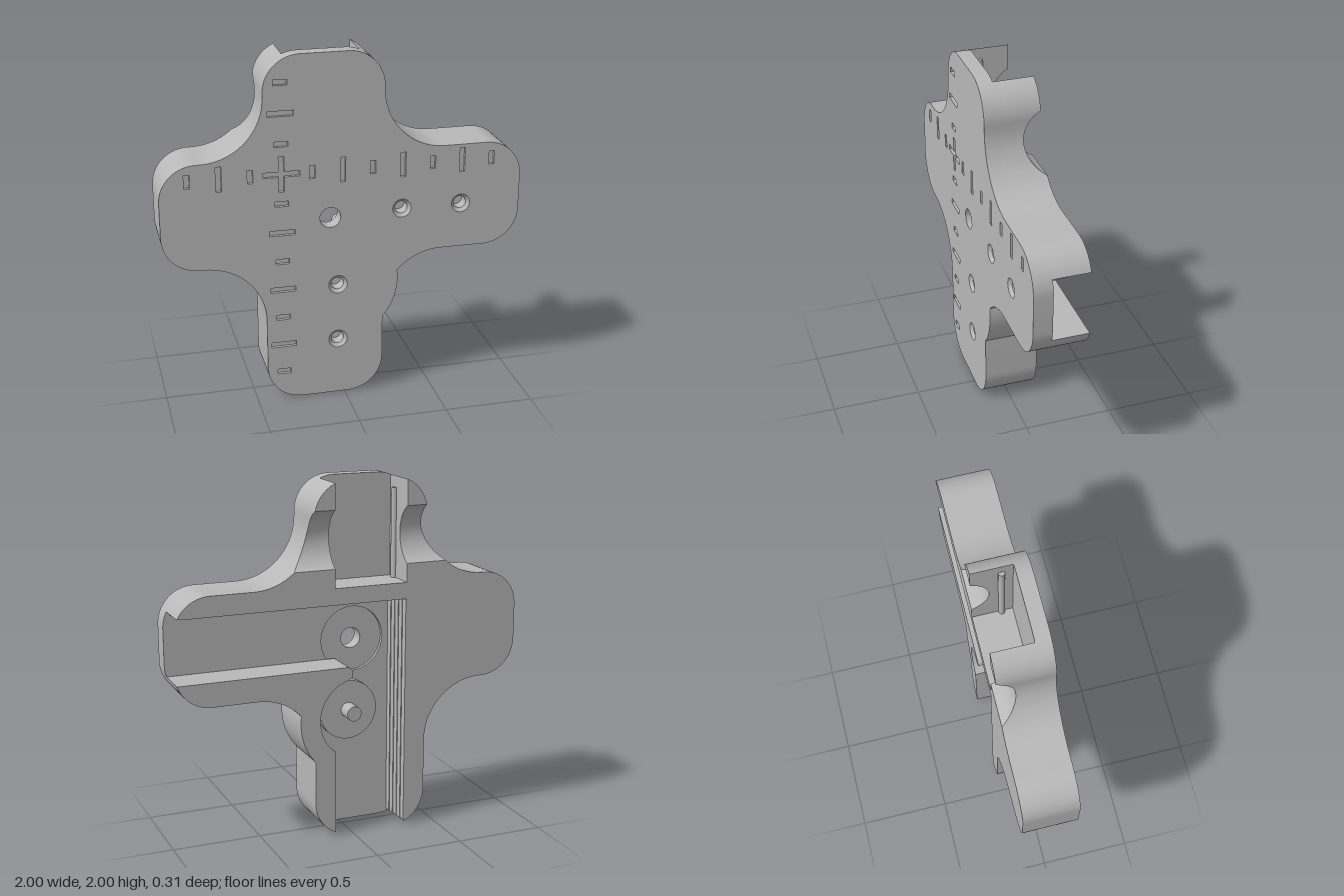
import * as THREE from 'three';
import { mergeGeometries, toCreasedNormals } from 'three/addons/utils/BufferGeometryUtils.js';

// Depth levels, front to back
const FRONT = 0.153, MARK = 0.135, FLOOR_TOP = 0.07, FLOOR = 0.05, BACK = -0.152;
// Channel walls
const WEST = -0.32, EAST = 0.10, SOUTH = 0.975, NORTH = 1.33, LEDGE = 1.42;
// Finger groove across the top arm
const GROOVE_Y = 1.683, GROOVE_R = 0.177, GROOVE_Z = -0.232;
const GROOVE_HALF = Math.sqrt(GROOVE_R ** 2 - (BACK - GROOVE_Z) ** 2);

function arc(cx, cy, r, a0, a1, n = 18) {
  return Array.from({ length: n + 1 }, (_, i) => {
    const a = THREE.MathUtils.degToRad(a0 + (a1 - a0) * i / n);
    return new THREE.Vector2(cx + r * Math.cos(a), cy + r * Math.sin(a));
  });
}

// Cross outline, anticlockwise from the bottom
function crossOutline() {
  return [
    ...arc(0.02, 0.205, 0.2, -90, 0),
    ...arc(-0.04, 0.68, 0.345, -41.1, 8.3),
    ...arc(0.55, 0.51, 0.33, 138, 90),
    ...arc(0.8, 1.04, 0.2, -90, 0),
    ...arc(0.8, 1.24, 0.2, 0, 90),
    ...arc(0.56, 1.78, 0.34, 270, 180),
    ...arc(0.02, 1.8, 0.2, 0, 90),
    ...arc(-0.24, 1.8, 0.2, 90, 180),
    ...arc(-0.78, 1.78, 0.34, 0, -90),
    ...arc(-0.8, 1.24, 0.2, 90, 180),
    ...arc(-0.8, 1.04, 0.2, 180, 270),
    ...arc(-0.78, 0.5, 0.34, 90, 0),
    ...arc(-0.24, 0.205, 0.2, 180, 270),
  ];
}

// Keep the part of a polygon on one side of a line
function cut(points, axis, value, sign) {
  const out = [];
  points.forEach((p, i) => {
    const q = points[(i + 1) % points.length];
    const dp = (p[axis] - value) * sign, dq = (q[axis] - value) * sign;
    if (dp >= 0) out.push(p);
    if (dp * dq < 0) out.push(p.clone().lerp(q, dp / (dp - dq)));
  });
  return out;
}

function region(points, { x0, x1, y0, y1 }) {
  if (x0 !== undefined) points = cut(points, 'x', x0, 1);
  if (x1 !== undefined) points = cut(points, 'x', x1, -1);
  if (y0 !== undefined) points = cut(points, 'y', y0, 1);
  if (y1 !== undefined) points = cut(points, 'y', y1, -1);
  return points;
}

function slab(points, z0, z1, holes = []) {
  const shape = new THREE.Shape(points);
  shape.holes = holes.map(h => new THREE.Path(h));
  const g = new THREE.ExtrudeGeometry(shape, { depth: z1 - z0, bevelEnabled: false });
  return g.translate(0, 0, z0);
}

const circle = (x, y, r) => arc(x, y, r, 0, 360, 40).slice(0, -1);
const rect = (x, y, w, h) => [[-1, -1], [1, -1], [1, 1], [-1, 1]]
  .map(([a, b]) => new THREE.Vector2(x + a * w / 2, y + b * h / 2));

// Back wall piece whose rear face follows the groove
function wall(points) {
  const g = slab(points, BACK, FLOOR), p = g.attributes.position;
  for (let i = 0; i < p.count; i++) {
    const d = Math.abs(p.getY(i) - GROOVE_Y);
    if (p.getZ(i) < 0 && d < GROOVE_HALF) {
      p.setZ(i, GROOVE_Z + Math.sqrt(GROOVE_R ** 2 - d * d));
    }
  }
  g.computeVertexNormals();
  return g;
}

// Engraved ruler ticks and the origin cross
function tickMarks() {
  const marks = [], cx = -0.346, cy = 1.35, step = 0.168, t = 0.03;
  for (let i = -3; i <= 7; i++) {
    if (i === 0) continue;
    const len = i % 2 ? 0.075 : 0.14;
    marks.push(rect(cx + i * step, cy, t, len));
    marks.push(rect(cx, cy - i * step, len, t));
  }
  const a = 0.1, b = t / 2;
  marks.push([[-a, -b], [-b, -b], [-b, -a], [b, -a], [b, -b], [a, -b],
    [a, b], [b, b], [b, a], [-b, a], [-b, b], [-a, b]]
    .map(([x, y]) => new THREE.Vector2(cx + x, cy + y)));
  // the pair of top ticks and left ticks share the loop range
  return marks;
}

export function createModel() {
  const model = new THREE.Group();
  const grey = new THREE.MeshStandardMaterial({ color: 0xb8b8b8, side: THREE.DoubleSide });
  grey.name = 'grey';
  const add = (name, geometry, x = 0, y = 0, z = 0) => {
    const m = new THREE.Mesh(geometry, grey);
    m.name = name;
    m.position.set(x, y, z);
    model.add(m);
  };
  const smooth = parts => toCreasedNormals(mergeGeometries(parts), 0.45);
  const outline = crossOutline();
  const screws = [[-0.037, 0.677], [-0.037, 0.341], [0.323, 1.097], [0.66, 1.097]];
  const hub = { x: -0.08, y: 1.08 };
  const hubHole = circle(hub.x, hub.y, 0.058);

  // Face plate with engraved marks, blind screw holes and the hub hole
  add('facePlate', smooth([
    slab(outline, MARK, FRONT,
      [...tickMarks(), hubHole, ...screws.map(([x, y]) => circle(x, y, 0.053))]),
    slab(outline, FLOOR_TOP, MARK,
      [hubHole, ...screws.map(([x, y]) => circle(x, y, 0.035))]),
    slab(region(outline, { y1: LEDGE }), FLOOR, FLOOR_TOP, [circle(hub.x, hub.y, 0.185)]),
    slab(region(outline, { x1: WEST, y0: LEDGE }), FLOOR, FLOOR_TOP),
    slab(region(outline, { x0: EAST, y0: LEDGE }), FLOOR, FLOOR_TOP),
  ]));

  // Countersinks
  for (const [x, y] of screws) {
    const cone = new THREE.CylinderGeometry(0.053, 0.035, FRONT - MARK, 40, 1, true);
    add('countersink', cone.rotateX(Math.PI / 2), x, y, (FRONT + MARK) / 2);
  }

  // Rear walls left standing around the L-shaped and top channels
  const lo = GROOVE_Y - GROOVE_HALF, hi = GROOVE_Y + GROOVE_HALF;
  const upper = [
    wall(region(outline, { x1: WEST, y1: lo })),
    wall(region(outline, { x0: WEST, y0: NORTH, y1: LEDGE })),
    wall(region(outline, { x0: EAST, y0: LEDGE, y1: lo })),
  ];
  for (const side of [{ x1: WEST }, { x0: EAST }]) {
    upper.push(wall(region(outline, { ...side, y0: hi })));
    const n = 20;
    for (let i = 0; i < n; i++) {
      const y0 = GROOVE_Y - GROOVE_HALF * Math.cos(Math.PI * i / n);
      const y1 = GROOVE_Y - GROOVE_HALF * Math.cos(Math.PI * (i + 1) / n);
      upper.push(wall(region(outline, { ...side, y0, y1 })));
    }
  }
  add('upperWalls', smooth(upper));

  // Lower corner wall with a rounded nub and a round pocket beside the pivot
  const corner = region(outline, { x0: EAST, y1: SOUTH });
  const onEdge = p => Math.abs(p.x - EAST) < 1e-6;
  const at = corner.findIndex((p, i) => onEdge(p) && onEdge(corner[(i + 1) % corner.length]));
  corner.splice(at + 1, 0,
    ...arc(0.035, 0.937, 0.038, 90, 225, 10), ...arc(-0.04, 0.68, 0.23, 76, -52.5, 28));
  add('cornerWall', smooth([wall(corner)]));

  // Pivot disc and pin
  const disc = new THREE.CylinderGeometry(0.17, 0.17, 0.045, 48).rotateX(Math.PI / 2);
  const pin = new THREE.CylinderGeometry(0.043, 0.043, 0.09, 32).rotateX(Math.PI / 2);
  add('pivotDisc', disc, -0.04, 0.68, FLOOR - 0.0225);
  add('pivotPin', pin, -0.04, 0.68, FLOOR - 0.09);

  // Fine stepped faces on the two long channel walls
  const steps = (name, n, make) => {
    for (let i = 0; i < n; i++) {
      const t = (FLOOR - BACK) / n;
      add(name, ...make(0.02 * (n - i) / n, t, FLOOR - t * (i + 0.5)));
    }
  };
  steps('horizontalStep', 10, (h, t, z) =>
    [new THREE.BoxGeometry(1.28, h, t), 0.32, NORTH - h / 2, z]);
  steps('verticalStep', 5, (w, t, z) =>
    [new THREE.BoxGeometry(w, 1.29, t), WEST + w / 2, 0.675, z]);

  // Snap ridges inside the top channel
  for (const [x, s] of [[WEST, 1], [EAST, -1]]) {
    const ridge = new THREE.CylinderGeometry(0.02, 0.02, 0.5, 16);
    ridge.scale(1, 1, 0.9);
    add('snapRidge', ridge, x + s * 0.002, 1.67, 0.01);
  }
  return model;
}
